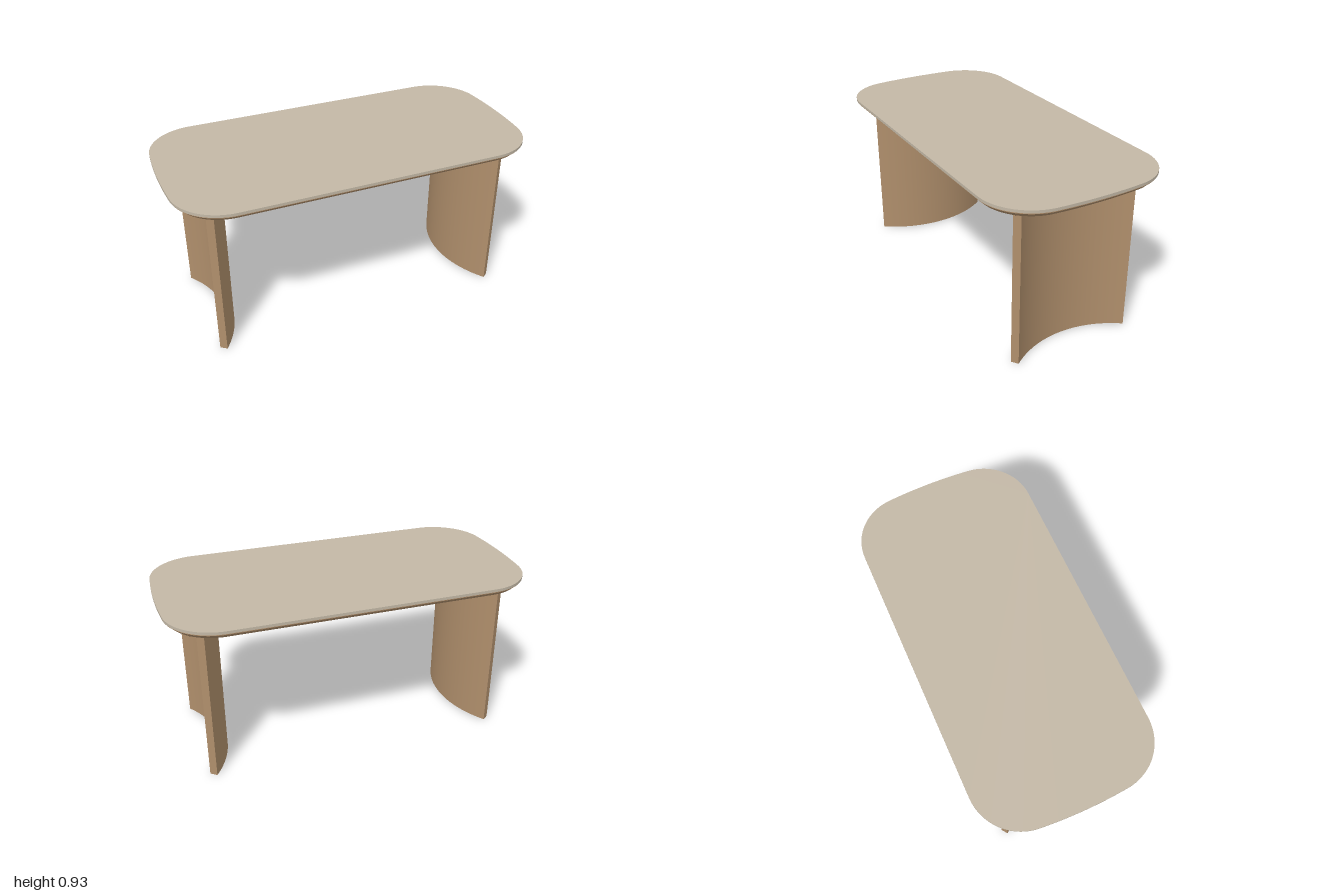
import * as THREE from 'three';
import { toCreasedNormals } from 'three/addons/utils/BufferGeometryUtils.js';

// Rounded tabletop outline with gently bowed ends, shrunk by an inset
function outline(inset) {
  const cx = 0.715, cy = 0.215, r = 0.275 - inset, a = 0.09, q = Math.PI / 2;
  const s = new THREE.Shape();
  s.absarc(cx, -cy, r, -q, -a, false);
  s.quadraticCurveTo(1.011 - inset, 0, cx + r * Math.cos(a), cy + r * Math.sin(a));
  s.absarc(cx, cy, r, a, q, false);
  s.absarc(-cx, cy, r, q, Math.PI - a, false);
  s.quadraticCurveTo(-1.011 + inset, 0, -cx - r * Math.cos(a), -cy - r * Math.sin(a));
  s.absarc(-cx, -cy, r, Math.PI + a, 3 * q, false);
  const pts = s.getPoints(20);
  if (pts[0].distanceTo(pts[pts.length - 1]) < 1e-6) pts.pop();
  return pts;
}

// Stack of outlines, bottom to top, given as [inset, height]; hard edges between bands
function loft(levels) {
  const pos = [], idx = [];
  const ring = ([inset, y]) => {
    const start = pos.length / 3, pts = outline(inset);
    pts.forEach((p) => pos.push(p.x, y, -p.y));
    return { start, n: pts.length };
  };
  for (let k = 0; k < levels.length - 1; k++) {
    const lo = ring(levels[k]), hi = ring(levels[k + 1]);
    for (let i = 0; i < lo.n; i++) {
      const j = (i + 1) % lo.n;
      idx.push(lo.start + i, lo.start + j, hi.start + j, lo.start + i, hi.start + j, hi.start + i);
    }
  }
  const bottom = ring(levels[0]), top = ring(levels[levels.length - 1]);
  for (let i = 1; i < top.n - 1; i++) {
    idx.push(top.start, top.start + i, top.start + i + 1);
    idx.push(bottom.start, bottom.start + i + 1, bottom.start + i);
  }
  const g = new THREE.BufferGeometry();
  g.setAttribute('position', new THREE.Float32BufferAttribute(pos, 3));
  g.setIndex(idx);
  g.computeVertexNormals();
  return g;
}

// Curved panel leg, hollow side facing outward (+x)
function legGeometry(height) {
  const cx = 1.29, outer = 0.6, inner = 0.558, half = 0.64;
  const s = new THREE.Shape();
  s.absarc(cx, 0, outer, Math.PI - half, Math.PI + half, false);
  s.absarc(cx, 0, inner, Math.PI + half, Math.PI - half, true);
  s.closePath();
  const g = new THREE.ExtrudeGeometry(s, { depth: height, bevelEnabled: false, curveSegments: 32 });
  g.rotateX(-Math.PI / 2);
  return toCreasedNormals(g, 0.5);
}

export function createModel() {
  const model = new THREE.Group();
  model.name = 'table';
  const material = (name, color) => {
    const m = new THREE.MeshStandardMaterial({ color });
    m.name = name;
    return m;
  };
  const stone = material('beige top', 0xc3b8a6);
  const wood = material('brown wood', 0xb08f6c);
  const black = material('black metal', 0x1f1f1f);

  const add = (name, geometry, mat, x = 0, y = 0, z = 0) => {
    const mesh = new THREE.Mesh(geometry, mat);
    mesh.name = name;
    mesh.position.set(x, y, z);
    model.add(mesh);
    return mesh;
  };
  const box = (name, mat, w, h, d, x, y, z) =>
    add(name, new THREE.BoxGeometry(w, h, d), mat, x, y, z);

  // Tabletop: thin slab over a wooden board with a bevelled underside
  add('topSlab', loft([[0, 0.915], [0, 0.93]]), stone);
  add('topBoard', loft([[0.028, 0.886], [0.004, 0.909], [0.004, 0.915]]), wood);

  // Legs with mounting plates, and straps under the board
  const leg = legGeometry(0.881);
  for (const side of [1, -1]) {
    const word = side > 0 ? 'left' : 'right';
    const mesh = add(word + 'Leg', leg, wood);
    if (side < 0) mesh.rotation.y = Math.PI;
    box(word + 'MountingPlate', black, 0.24, 0.006, 0.78, side * 0.76, 0.884, 0);
    box(word + 'Strap', black, 0.05, 0.006, 0.78, side * 0.4, 0.884, 0);
  }

  // Rails between the legs
  box('centreRail', wood, 1.39, 0.1, 0.05, 0, 0.836, 0);
  for (const side of [1, -1]) {
    box(side > 0 ? 'frontRail' : 'backRail', wood, 1.32, 0.046, 0.03, 0, 0.863, side * 0.33);
  }
  return model;
}
